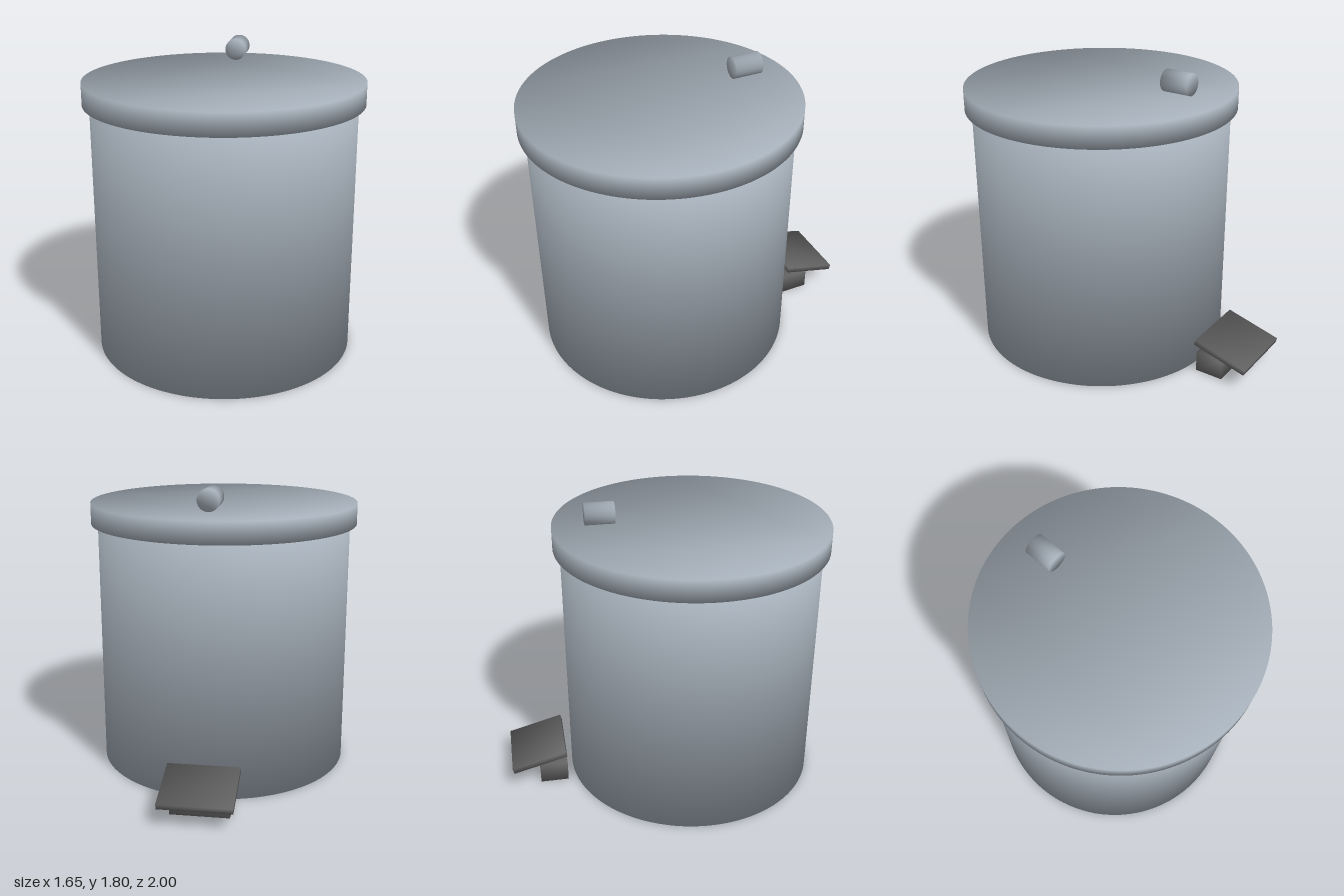
import * as THREE from 'three';

// Centres a geometry and rounds its shading: normals blend evenly across every edge
function soften(geometry) {
  geometry.center();
  geometry.computeBoundingBox();
  const half = geometry.boundingBox.max;
  const { position, normal } = geometry.attributes;
  const n = new THREE.Vector3();
  for (let i = 0; i < position.count; i++) {
    n.fromBufferAttribute(position, i).divide(half).normalize();
    normal.setXYZ(i, n.x, n.y, n.z);
  }
  return geometry;
}

// Solid disc or barrel with its axis along z
function barrel(radius, depth) {
  const circle = new THREE.Shape().absarc(0, 0, radius, 0, Math.PI * 2);
  return soften(new THREE.ExtrudeGeometry(circle, { depth, curveSegments: 96, bevelEnabled: false }));
}

const drum = (radius, height) => barrel(radius, height).rotateX(-Math.PI / 2);
const block = (w, h, d) => soften(new THREE.BoxGeometry(w, h, d));

export function createModel() {
  const model = new THREE.Group();
  const steel = new THREE.MeshStandardMaterial({ color: 0xa5afb9 });
  const rubber = new THREE.MeshStandardMaterial({ color: 0x666666 });

  const add = (name, geometry, material, x, y, z) => {
    const mesh = new THREE.Mesh(geometry, material);
    mesh.name = name;
    mesh.position.set(x, y, z);
    model.add(mesh);
    return mesh;
  };

  // Round bin with an overhanging disc lid
  const axisZ = 0.175;
  add('body', drum(0.784, 1.525), steel, 0, 0.7625, axisZ);
  add('lid', drum(0.825, 0.13), steel, 0, 1.59, axisZ);

  // Small barrel handle lying front to back, just above the lid
  add('lidHandle', barrel(0.065, 0.175), steel, 0, 1.74, -0.371);

  // Foot pedal: block on the floor and a plate sloping down to the outside
  add('pedalBlock', block(0.35, 0.13, 0.175), rubber, 0, 0.065, -0.738);
  const plate = add('pedalPlate', block(0.43, 0.035, 0.35), rubber, 0, 0.178, -0.826);
  plate.rotation.x = -THREE.MathUtils.degToRad(15);

  return model;
}
